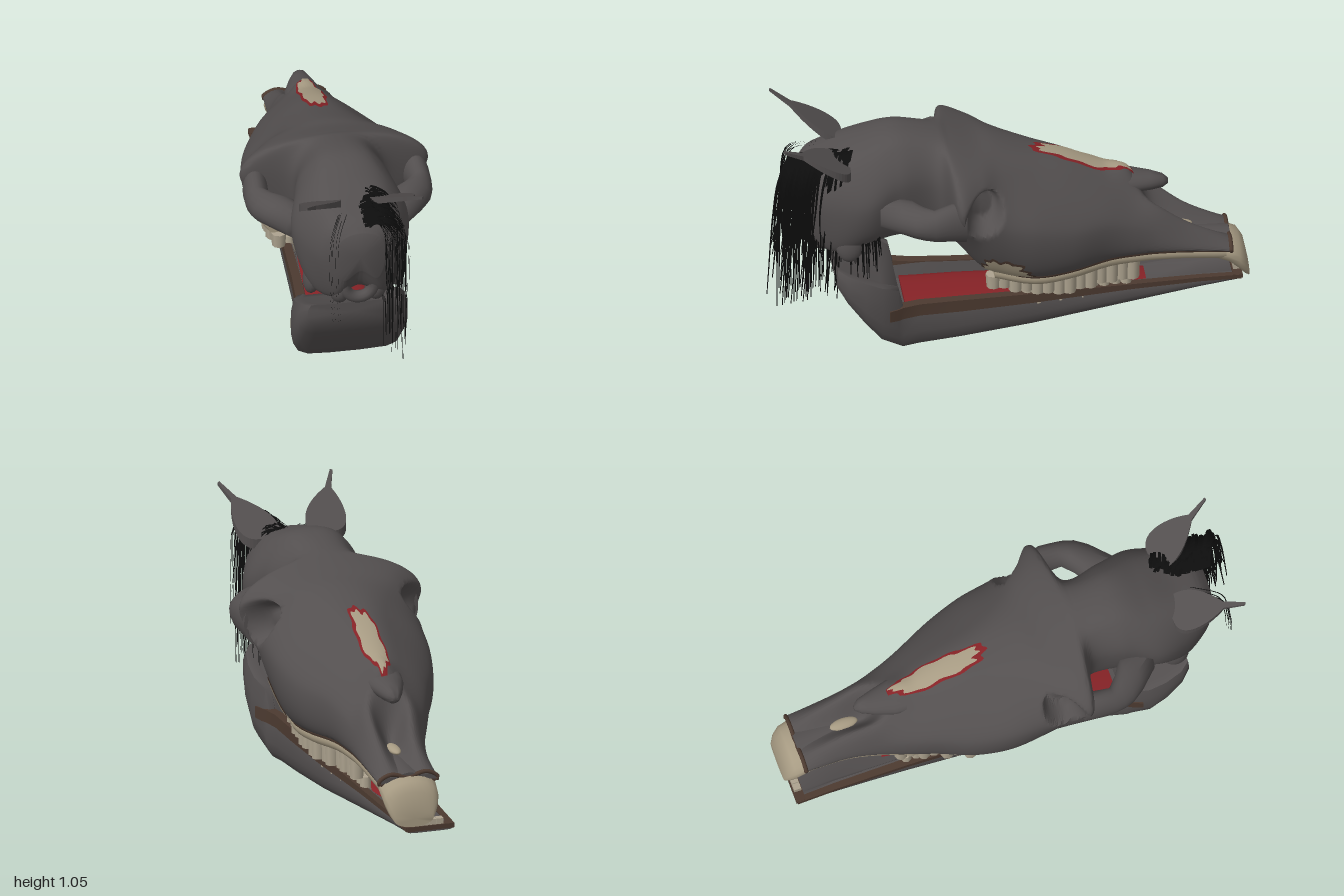
import * as THREE from 'three';
import { toCreasedNormals } from 'three/addons/utils/BufferGeometryUtils.js';

const V = (x, y, z) => new THREE.Vector3(x, y, z);
const mat = (name, color, side = THREE.FrontSide) => {
  const m = new THREE.MeshStandardMaterial({ color, side });
  m.name = name;
  return m;
};
const smooth = THREE.MathUtils.smoothstep;

// Skull stations: z, top, shoulder y, shoulder w, cheek y, cheek w, base y, base w
const ROWS = [
  [0.85, 0.84, 0.81, 0.08, 0.72, 0.10, 0.62, 0.07],
  [0.80, 0.88, 0.85, 0.12, 0.71, 0.165, 0.52, 0.11],
  [0.70, 0.91, 0.88, 0.14, 0.72, 0.215, 0.50, 0.17],
  [0.58, 0.955, 0.91, 0.15, 0.74, 0.242, 0.54, 0.18],
  [0.45, 0.985, 0.95, 0.12, 0.80, 0.205, 0.56, 0.16],
  [0.29, 0.96, 0.92, 0.13, 0.78, 0.19, 0.54, 0.14],
  [0.23, 0.94, 0.885, 0.28, 0.75, 0.38, 0.53, 0.19],
  [0.13, 0.905, 0.855, 0.26, 0.69, 0.355, 0.43, 0.23],
  [0.04, 0.885, 0.83, 0.20, 0.65, 0.34, 0.40, 0.25],
  [-0.10, 0.84, 0.80, 0.14, 0.62, 0.325, 0.37, 0.26],
  [-0.25, 0.795, 0.75, 0.12, 0.58, 0.285, 0.375, 0.24],
  [-0.40, 0.735, 0.69, 0.10, 0.56, 0.22, 0.385, 0.19],
  [-0.52, 0.695, 0.64, 0.08, 0.52, 0.175, 0.385, 0.16],
  [-0.62, 0.455, 0.575, 0.085, 0.48, 0.145, 0.385, 0.14],
  [-0.75, 0.415, 0.485, 0.075, 0.43, 0.125, 0.38, 0.125],
  [-0.92, 0.385, 0.40, 0.07, 0.385, 0.115, 0.365, 0.12],
];

// Cubic interpolation between stations
function station(s) {
  const n = ROWS.length - 1, i = Math.min(n - 1, Math.floor(s)), f = s - i;
  const r = k => ROWS[Math.max(0, Math.min(n, i + k))];
  return r(0).map((b, c) => {
    const a = r(-1)[c], d = r(1)[c], e = r(2)[c];
    return b + 0.5 * f * (d - a + f * (2 * a - 5 * b + 4 * d - e + f * (3 * (b - d) + e - a)));
  });
}
function section(s) {
  const [z, top, yS, wS, yM, wM, yB, wB] = station(s);
  const cx = 0.035 * smooth(-z, 0.4, 0.8);
  const half = [[wS, yS], [wM, yM], [wB, yB]];
  const pts = [V(cx, top, z), ...half.map(([w, y]) => V(cx + w, y, z)), V(cx, yB + 0.04, z),
    ...half.reverse().map(([w, y]) => V(cx - w, y, z))];
  return new THREE.CatmullRomCurve3(pts, true, 'catmullrom', 0.5);
}
// Hollow out the eye sockets
function carve(p) {
  const r = Math.hypot((p.z - 0.125) / 0.09, (p.y - 0.73) / 0.1);
  if (Math.abs(p.x) > 0.12) p.x -= Math.sign(p.x) * 0.11 * smooth(1 - r, 0, 0.5);
  return p;
}
const skin = (s, t) => carve(section(s).getPoint((t + 1) % 1));

// Closed skin over rings ordered from +z to -z, each clockwise seen from +z
function loft(rings, crease = 0.9) {
  const n = rings[0].length, pos = [], idx = [];
  rings.forEach(r => r.forEach(p => pos.push(p.x, p.y, p.z)));
  for (let i = 0; i < rings.length - 1; i++) for (let j = 0; j < n; j++) {
    const a = i * n + j, b = i * n + (j + 1) % n;
    idx.push(a, b, a + n, b, b + n, a + n);
  }
  [0, rings.length - 1].forEach((i, end) => {
    const c = rings[i].reduce((q, p) => q.add(p), V(0, 0, 0)).divideScalar(n);
    const k = pos.push(c.x, c.y, c.z) / 3 - 1;
    for (let j = 0; j < n; j++) {
      const a = i * n + j, b = i * n + (j + 1) % n;
      end ? idx.push(k, a, b) : idx.push(k, b, a);
    }
  });
  const g = new THREE.BufferGeometry();
  g.setAttribute('position', new THREE.Float32BufferAttribute(pos, 3));
  g.setIndex(idx);
  return toCreasedNormals(g, crease);
}
// Elliptic body: rows of z, y, half height, half width, x
const body = rows => loft(rows.map(([z, y, h, w, x]) => Array.from({ length: 20 }, (_, j) => {
  const a = j / 20 * Math.PI * 2;
  return V(x + w * Math.sin(a), y + h * Math.cos(a), z);
})), 1.2);

// Ragged thin patch lying on the skull surface
function patch(s0, t0, ds, dt, lift, wob) {
  const pos = [], idx = [], N = 60, R = 12;
  for (let i = 0; i <= R; i++) for (let j = 0; j < N; j++) {
    const a = j / N * Math.PI * 2;
    const k = i / R * (1 + wob * (Math.sin(a * 5 + 1) + Math.sin(a * 11)) / 2);
    const s = s0 + ds * k * Math.sin(a), t = t0 + dt * k * Math.cos(a), p = skin(s, t);
    const nrm = skin(s, t + 0.004).sub(p).cross(skin(s + 0.03, t).sub(p)).normalize();
    p.addScaledVector(nrm, lift);
    pos.push(p.x, p.y, p.z);
    if (i < R) {
      const q = i * N + j, r = i * N + (j + 1) % N;
      idx.push(q, q + N, r, r, q + N, r + N);
    }
  }
  const g = new THREE.BufferGeometry();
  g.setAttribute('position', new THREE.Float32BufferAttribute(pos, 3));
  g.setIndex(idx);
  g.computeVertexNormals();
  return g;
}

export function createModel() {
  const model = new THREE.Group();
  const hide = mat('dark hide', 0x534f4f, THREE.DoubleSide), bone = mat('bone', 0xa79b83, THREE.DoubleSide);
  const edge = mat('brown edge', 0x4c3a30, THREE.DoubleSide), flesh = mat('red flesh', 0x852226, THREE.DoubleSide);
  const tooth = mat('tooth', 0xada38f), hair = mat('black hair', 0x0d0d0d, THREE.DoubleSide);
  const add = (name, geo, m) => {
    const mesh = new THREE.Mesh(geo, m);
    mesh.name = name;
    model.add(mesh);
    return mesh;
  };
  const ball = (name, x, y, z, a, b, c, m = hide) => {
    const mesh = add(name, new THREE.SphereGeometry(1, 20, 14), m);
    mesh.position.set(x, y, z);
    mesh.scale.set(a, b, c);
    return mesh;
  };

  // Skull, nasal tip and exposed bone
  const steps = (ROWS.length - 1) * 10;
  add('skull', loft(Array.from({ length: steps + 1 }, (_, i) => {
    const c = section(i / 10);
    return Array.from({ length: 112 }, (_, j) => carve(c.getPoint(j / 112)));
  }), 1.2), hide);
  add('nasalTip', body([[-0.42, 0.66, 0.05, 0.09, 0], [-0.52, 0.645, 0.045, 0.075, 0],
    [-0.6, 0.64, 0.038, 0.05, 0.005], [-0.65, 0.638, 0.028, 0.03, 0.01], [-0.672, 0.635, 0.012, 0.012, 0.01]]), hide);
  add('noseWoundEdge', patch(10.55, 0, 1.55, 0.06, 0.004, 0.1), flesh);
  add('noseBone', patch(10.55, 0, 1.32, 0.048, 0.007, 0.16), bone);
  add('cheekWoundEdge', patch(7.95, 0.35, 0.9, 0.03, 0.004, 0.2), edge);
  add('cheekBone', patch(7.95, 0.35, 0.78, 0.025, 0.007, 0.25), bone);
  ball('nasalFloor', 0.03, 0.435, -0.71, 0.025, 0.015, 0.06, bone);
  const lip = new THREE.CatmullRomCurve3(Array.from({ length: 17 }, (_, i) => skin(14.95, -0.375 + i * 0.75 / 16)));
  add('snoutEdge', new THREE.TubeGeometry(lip, 40, 0.009, 10), edge);

  // Back of the skull
  const foramen = add('neckOpening', new THREE.TorusGeometry(0.06, 0.025, 10, 24), hide);
  foramen.position.set(0, 0.565, 0.805);
  for (const m of [1, -1]) {
    ball('condyle', m * 0.075, 0.53, 0.76, 0.045, 0.065, 0.06);
    ball('hangingProcess', m * 0.165, 0.54, 0.66, 0.04, 0.085, 0.06).rotation.z = m * 0.2;

    // Cheek arch: broad bar from behind the socket back to the cranium
    const arch = [[0.20, 0.70, 0.09, 0.05, 0.325], [0.26, 0.71, 0.085, 0.052, 0.335], [0.33, 0.70, 0.07, 0.05, 0.337],
      [0.37, 0.70, 0.07, 0.07, 0.312], [0.41, 0.70, 0.07, 0.095, 0.275], [0.46, 0.70, 0.065, 0.09, 0.245],
      [0.54, 0.69, 0.05, 0.05, 0.205]].reverse();
    add('cheekArch', body(arch.map(([z, y, h, w, x]) => [z, y, h, w, m * x])), hide);

    // Upper gum line and teeth
    const gum = (s, dx, dy) => {
      const p = skin(s, m > 0 ? 0.375 : 0.625);
      return p.setX(p.x - m * dx).setY(p.y + dy);
    };
    const run = (a, b, dx, dy, h, w) => body(Array.from({ length: 24 }, (_, i) => {
      const p = gum(a + (b - a) * i / 23, dx, dy);
      return [p.z, p.y, h, w, p.x];
    }));
    add('upperGumEdge', run(7.6, 14.95, 0.008, 0.004, 0.015, 0.014), edge);
    add('upperJawBone', run(7.7, 14.8, 0.032, -0.016, 0.034, 0.034), bone);
    for (let i = 0; i < 7; i++) {
      const z = 0.05 - i * 0.09, p = gum([7.9, 8.6, 9.2, 9.85, 10.5, 11.15, 11.9][i], 0.045, 0);
      const h = 0.06 + 0.05 * Math.min(1, i / 3);
      for (const k of [-1, 1]) {
        const t = add('upperTooth', new THREE.CylinderGeometry(0.032, 0.028, h, 8), tooth);
        t.position.set(p.x, 0.365 - h / 2, z + k * 0.022);
      }
      if (i < 5) for (const k of [-1, 1]) {
        const l = add('lowerTooth', new THREE.CylinderGeometry(0.022, 0.026, 0.08, 8), tooth);
        l.position.set(m * (0.128 - i * 0.008) - 0.005 - i * 0.003, 0.208, -0.1 - i * 0.092 + k * 0.022);
      }
    }

    // Ear: leaf on a slanted plane, thicker at its root
    const leaf = new THREE.Shape();
    leaf.moveTo(0.065, 0.65);
    leaf.bezierCurveTo(0.035, 0.73, 0.09, 0.80, 0.19, 0.86);
    leaf.lineTo(0.238, 0.94);
    leaf.lineTo(0.247, 0.935);
    leaf.lineTo(0.215, 0.855);
    leaf.bezierCurveTo(0.25, 0.77, 0.25, 0.66, 0.17, 0.655);
    leaf.closePath();
    const ear = new THREE.ExtrudeGeometry(leaf, { depth: 1, bevelEnabled: false, curveSegments: 16 });
    const e = ear.attributes.position;
    for (let i = 0; i < e.count; i++) {
      const x = e.getX(i), z = e.getY(i), thick = 0.012 + 0.03 * (0.94 - z) / 0.29;
      e.setXYZ(i, m * x, 0.865 + (z - 0.64) * 0.61 + (e.getZ(i) - 0.6) * thick, z);
    }
    // Turn the corners round where the mapping flips them
    if (m > 0) ear.setAttribute('position', new THREE.BufferAttribute(
      e.array.map((_, i, a) => a[(i - i % 9) + [0, 6, 3][Math.floor(i % 9 / 3)] + i % 3]), 3));
    ear.computeVertexNormals();
    add('ear', ear, hide);
  }

  // Upper front teeth
  add('upperSnoutBone', body([[-0.7, 0.35, 0.025, 0.1, 0.035], [-0.83, 0.352, 0.04, 0.115, 0.035],
    [-0.91, 0.335, 0.06, 0.122, 0.035], [-0.955, 0.305, 0.075, 0.118, 0.035], [-0.98, 0.27, 0.07, 0.105, 0.035],
    [-0.995, 0.23, 0.035, 0.085, 0.035]]), bone);

  // Lower jaw: z, top, bottom, half width, floor, sideways shift
  const jaw = [
    [0.71, 0.42, 0.32, 0.195, 0.415, 0], [0.67, 0.405, 0.25, 0.225, 0.40, 0], [0.6, 0.375, 0.15, 0.238, 0.37, 0],
    [0.53, 0.345, 0.06, 0.235, 0.34, 0], [0.46, 0.312, 0.012, 0.208, 0.305, 0], [0.44, 0.222, 0.004, 0.198, 0.15, 0],
    [0.37, 0.222, 0.006, 0.18, 0.15, 0], [0.2, 0.22, 0.018, 0.168, 0.15, 0], [-0.1, 0.215, 0.05, 0.153, 0.155, -0.005],
    [-0.5, 0.2, 0.1, 0.125, 0.16, -0.02], [-0.8, 0.187, 0.135, 0.105, 0.165, -0.035], [-0.97, 0.18, 0.158, 0.1, 0.175, -0.042]];
  add('lowerJaw', loft(jaw.map(([z, t, b, w, f, c]) => {
    const h = t - b;
    const side = [[w - 0.05, f], [w - 0.035, t], [w - 0.012, t - h * 0.02], [w, t - h * 0.25], [w, b + h * 0.4],
      [w * 0.96, b + h * 0.22], [w * 0.87, b + h * 0.08], [w * 0.7, b + h * 0.015], [w * 0.3, b]];
    return [...side.map(([x, y]) => V(c + x, y, z)), ...side.reverse().map(([x, y]) => V(c - x, y, z))];
  }), 1.0), hide);
  for (const m of [1, -1]) {
    const rim = [[0.5, 0.222, 0, 0.226, 0, 0], [0.46, 0.222, 0, 0.209, 0, 0], ...jaw.slice(5)];
    add('jawRim', loft(rim.map(([z, t, , w, , c], i) => {
      const h = [0.045, 0.05, 0.05, 0.05, 0.05, 0.04, 0.02, 0.014, 0.014][i];
      const x = [c + m * (w - 0.045 + i * 0.003), c + m * (w + 0.004)].sort((p, q) => p - q);
      return [V(x[0], t + 0.004, z), V(x[1], t + 0.004, z), V(x[1], t - h, z), V(x[0], t - h, z)];
    }), 0.6), edge);
  }
  add('jawTip', new THREE.BoxGeometry(0.2, 0.02, 0.04), edge).position.set(-0.042, 0.176, -0.955);
  for (let i = 0; i < 4; i++)
    add('lowerFrontTooth', new THREE.BoxGeometry(0.028, 0.03, 0.03), tooth).position.set(-0.085 + i * 0.03, 0.195, -0.955);
  add('tongue', body([[0.42, 0.165, 0.01, 0.14, 0], [0.2, 0.172, 0.02, 0.125, 0], [-0.1, 0.175, 0.02, 0.105, 0],
    [-0.4, 0.178, 0.015, 0.08, -0.015], [-0.58, 0.175, 0.006, 0.05, -0.02]]), flesh);

  // Mane: flat strands falling down the side of the poll
  let seed = 7;
  const rnd = () => (seed = (seed * 16807) % 2147483647) / 2147483647;
  const pos = [], idx = [];
  const strand = (pts, w) => {
    const c = new THREE.CatmullRomCurve3(pts), N = 14;
    for (let i = 0; i <= N; i++) {
      const p = c.getPoint(i / N), k = w * (1 - 0.8 * i / N) / 2;
      const n = pos.push(p.x, p.y, p.z - k, p.x, p.y, p.z + k) / 3 - 2;
      if (i < N) idx.push(n, n + 1, n + 2, n + 1, n + 3, n + 2);
    }
  };
  for (let i = 0; i < 150; i++) {
    const z = 0.62 + 0.25 * rnd(), d = 0.05 + 0.07 * rnd(), x = 0.09 + 0.09 * rnd(), drift = 0.05 * rnd();
    const low = 0.25 + 0.35 * rnd(), top = 0.93 - 0.02 * rnd();
    strand([V(0.01 + 0.03 * rnd(), top - 0.03, z), V(x * 0.6, top, z + d * 0.4), V(x, top - 0.06, z + d * 0.8),
      V(x + 0.005, 0.7, z + d), V(x + 0.005, low, z + d + drift - 0.01)], 0.018);
  }
  for (let i = 0; i < 30; i++) {
    const z = 0.54 + 0.14 * rnd(), x = 0.16 + 0.04 * rnd();
    strand([V(x, 0.7, z + 0.02), V(x, 0.58, z), V(x, 0.36 + 0.14 * rnd(), z - 0.01)], 0.014);
  }
  for (let i = 0; i < 5; i++) {
    const z = 0.8 + 0.04 * rnd(), x = -0.07 - 0.08 * rnd();
    strand([V(x + 0.05, 0.89, z - 0.05), V(x, 0.84, z + 0.06), V(x - 0.01, 0.65, z + 0.09), V(x, 0.45, z + 0.1)], 0.007);
  }
  const mane = new THREE.BufferGeometry();
  mane.setAttribute('position', new THREE.Float32BufferAttribute(pos, 3));
  mane.setIndex(idx);
  mane.computeVertexNormals();
  add('mane', mane, hair);
  return model;
}
